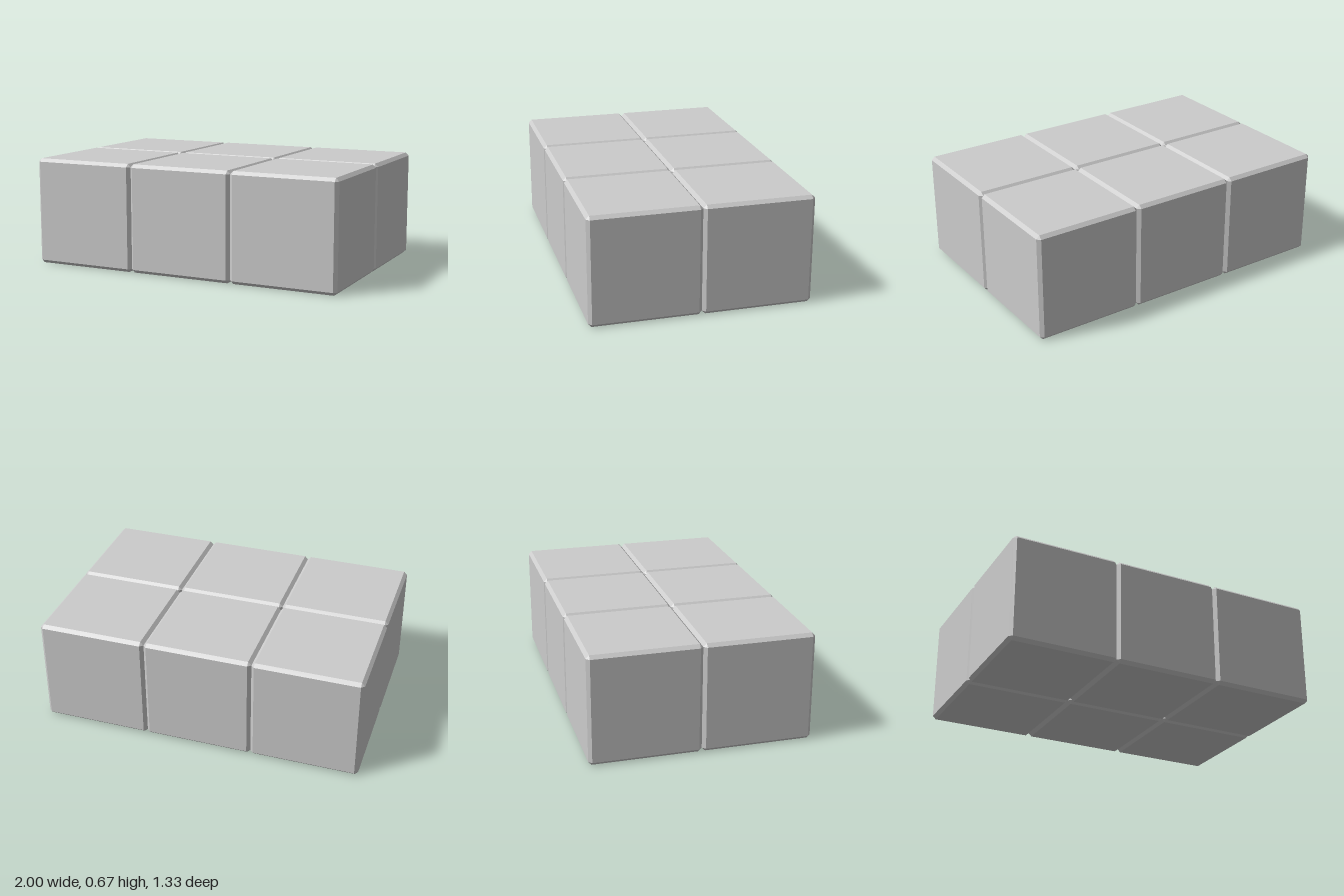
import * as THREE from 'three';
import { ConvexGeometry } from 'three/addons/geometries/ConvexGeometry.js';

const SIZE = 2 / 3;
const BEVEL = 0.02;

// Cube with flat bevelled edges and triangular corner cuts
function bevelledCube(size, bevel) {
  const h = size / 2, i = h - bevel;
  const points = [];
  for (const x of [-1, 1]) for (const y of [-1, 1]) for (const z of [-1, 1]) {
    points.push(
      new THREE.Vector3(x * h, y * i, z * i),
      new THREE.Vector3(x * i, y * h, z * i),
      new THREE.Vector3(x * i, y * i, z * h)
    );
  }
  return new ConvexGeometry(points);
}

export function createModel() {
  const model = new THREE.Group();
  model.name = 'blockGrid';
  const material = new THREE.MeshStandardMaterial({ color: 0xcccccc, flatShading: true });
  const geometry = bevelledCube(SIZE, BEVEL);

  // Three columns by two rows of touching blocks
  ['right', 'middle', 'left'].forEach((column, c) => {
    ['Back', 'Front'].forEach((row, r) => {
      const block = new THREE.Mesh(geometry, material);
      block.name = `${column}${row}Block`;
      block.position.set((c - 1) * SIZE, SIZE / 2, (r - 0.5) * SIZE);
      model.add(block);
    });
  });
  return model;
}
